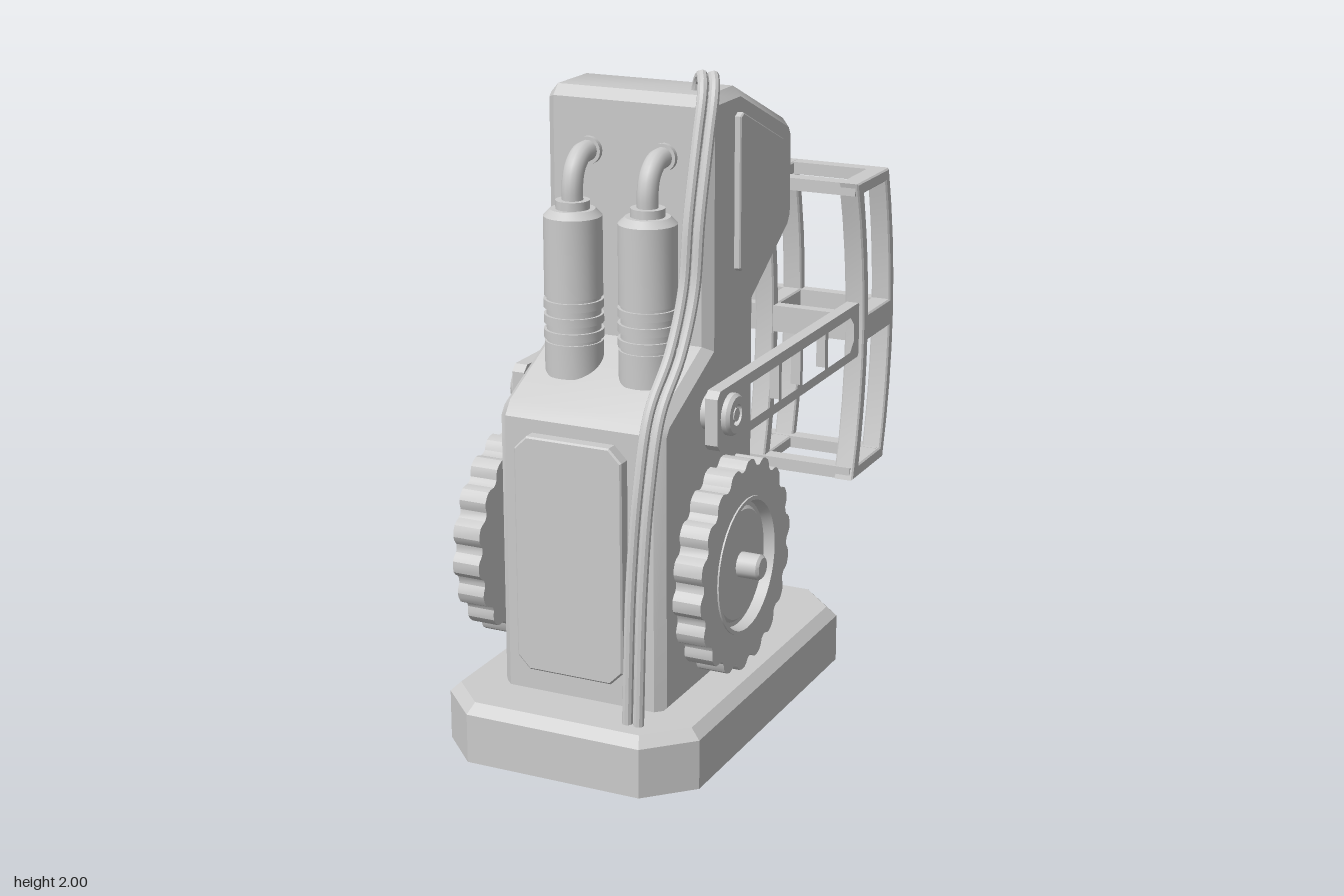
import * as THREE from 'three';
import { toCreasedNormals } from 'three/addons/utils/BufferGeometryUtils.js';

const material = new THREE.MeshStandardMaterial({ color: 0xcccccc });

function add(parent, name, geometry, x = 0, y = 0, z = 0) {
  const mesh = new THREE.Mesh(toCreasedNormals(geometry, 0.5), material);
  mesh.name = name;
  mesh.position.set(x, y, z);
  parent.add(mesh);
  return mesh;
}

const shapeOf = (pts) => new THREE.Shape(pts.map(([a, b]) => new THREE.Vector2(a, b)));

// Extrudes a shape; the bevel stays inside the outline and the depth
function slab(shape, depth, bevel = 0) {
  return new THREE.ExtrudeGeometry(shape, {
    depth: Math.max(depth - 2 * bevel, 0.001), bevelEnabled: bevel > 0, bevelThickness: bevel,
    bevelSize: bevel, bevelOffset: -bevel, bevelSegments: 1, curveSegments: 40,
  }).translate(0, 0, bevel);
}

// Slab whose outline is given as (z, y) and which spans x0..x1
function sideSlab(pts, x0, x1, bevel = 0, holes = []) {
  const flip = (list) => list.map(([z, y]) => [-z, y]);
  const shape = shapeOf(flip(pts));
  shape.holes = holes.map((h) => shapeOf(flip(h)));
  return slab(shape, x1 - x0, bevel).rotateY(Math.PI / 2).translate(x0, 0, 0);
}

// Turned part from [radius, height] pairs
const lathe = (pts, n = 32) =>
  new THREE.LatheGeometry(pts.map(([r, h]) => new THREE.Vector2(r, h)), n);

// Rectangle with cut corners
const cutRect = (a0, a1, b0, b1, c) => [
  [a0 + c, b0], [a1 - c, b0], [a1, b0 + c], [a1, b1 - c],
  [a1 - c, b1], [a0 + c, b1], [a0, b1 - c], [a0, b0 + c],
];

// Points along a bowed line, z0 at the cage's ends and z1 at its middle height
function bow(z0, z1, yA, yB, yTop, yMid) {
  const pts = [];
  for (let i = 0; i <= 8; i++) {
    const y = yA + ((yB - yA) * i) / 8;
    const t = (y - yMid) / (yTop - yMid);
    pts.push([z1 + (z0 - z1) * t * t, y]);
  }
  return pts;
}

function gearOutline(teeth) {
  const pts = [];
  const tooth = [[0, 0.311], [0.1, 0.318], [0.26, 0.32], [0.42, 0.318], [0.52, 0.311], [0.64, 0.298], [0.76, 0.295], [0.88, 0.298]];
  for (let i = 0; i < teeth; i++) {
    for (const [f, r] of tooth) {
      const a = ((i + f) / teeth) * Math.PI * 2;
      pts.push([Math.cos(a) * r, Math.sin(a) * r]);
    }
  }
  return pts;
}

export function createModel() {
  const model = new THREE.Group();
  model.name = 'machine';

  // Base plate: chamfered top over a thin skirt, hollow underneath
  const plate = cutRect(-0.41, 0.41, -0.89, 0.41, 0.13);
  const skirt = shapeOf(plate);
  skirt.holes = [shapeOf(cutRect(-0.4, 0.4, -0.88, 0.4, 0.126))];
  add(model, 'baseSkirt', slab(skirt, 0.15).rotateX(-Math.PI / 2));
  add(model, 'baseTop', slab(shapeOf(plate), 0.06, 0.03).rotateX(-Math.PI / 2), 0, 0.12);
  add(model, 'baseUnderside', slab(shapeOf(plate), 0.01).rotateX(-Math.PI / 2), 0, 0.14);

  // Body: lower block, sloped shoulder and overhanging head
  add(model, 'body', sideSlab([
    [0.70, 0.16], [0.70, 1.02], [0.67, 1.06], [0.38, 1.20], [0.38, 1.90], [0.35, 1.93], [0.17, 1.93],
    [-0.2, 1.77], [-0.225, 1.73], [-0.225, 1.47], [-0.2, 1.43], [0.06, 1.265], [0.06, 0.16],
  ], -0.265, 0.265, 0.028));
  add(model, 'frontPanel', slab(shapeOf(cutRect(-0.19, 0.155, 0.26, 0.98, 0.04)), 0.06, 0.005), 0, 0, 0.68);

  const headPanel = [[0.215, 1.85], [0.195, 1.86], [-0.10, 1.73], [-0.13, 1.69],
    [-0.13, 1.49], [-0.11, 1.46], [0.2, 1.39], [0.215, 1.40]];

  // Rear support column
  add(model, 'rearColumn', lathe([
    [0, 0.17], [0.085, 0.17], [0.085, 0.2], [0.11, 0.22], [0.11, 0.47], [0.09, 0.495], [0.09, 1.145],
    [0.102, 1.147], [0.102, 1.157], [0.09, 1.16], [0.09, 1.225],
    [0.102, 1.227], [0.102, 1.237], [0.09, 1.24], [0.09, 1.5],
  ]), 0, 0, -0.11);

  // Twin canisters with bent outlet pipes
  for (const x of [-0.12, 0.12]) {
    const profile = [[0, 1.11], [0.086, 1.11], [0.086, 1.21]];
    for (const y of [1.22, 1.265, 1.31]) {
      profile.push([0.08, y - 0.01], [0.08, y], [0.088, y], [0.088, y + 0.025], [0.08, y + 0.025]);
    }
    profile.push([0.08, 1.345], [0.086, 1.345], [0.086, 1.58], [0.066, 1.6],
      [0.05, 1.6], [0.05, 1.625], [0, 1.625]);
    add(model, 'canister', lathe(profile), x, 0, 0.49);
    const bend = new THREE.CatmullRomCurve3([
      [0.49, 1.61], [0.49, 1.67], [0.475, 1.715], [0.44, 1.745], [0.41, 1.75], [0.36, 1.75],
    ].map(([z, y]) => new THREE.Vector3(x, y, z)));
    add(model, 'outletPipe', new THREE.TubeGeometry(bend, 20, 0.031, 14));
    add(model, 'pipeCollar', new THREE.CylinderGeometry(0.041, 0.041, 0.03, 20).rotateX(Math.PI / 2), x, 1.75, 0.38);
  }

  // Pair of cables from the head down to the base
  for (const d of [0, 0.036]) {
    const path = new THREE.CatmullRomCurve3([
      [0.165, 1.90, 0.27], [0.18, 1.96, 0.28], [0.21, 1.982, 0.32], [0.23, 1.94, 0.36],
      [0.237, 1.82, 0.41], [0.24, 1.6, 0.475], [0.24, 1.4, 0.51], [0.235, 1.23, 0.59],
      [0.225, 1.09, 0.70], [0.22, 0.89, 0.76], [0.21, 0.6, 0.79], [0.2, 0.16, 0.80],
    ].map(([x, y, z]) => new THREE.Vector3(x + d, y, z)));
    add(model, 'cable', new THREE.TubeGeometry(path, 70, 0.016, 10));
  }

  // Parts on both sides
  const windows = [[0.285, 0.035], [0.015, -0.13], [-0.15, -0.33], [-0.355, -0.575]];
  const cuts = windows.map(([a, b], i) => {
    const h = cutRect(b, a, 0.95, 1.066, 0.03);
    if (i === 0) return [[b, 0.95], ...h.slice(1, 5), [b, 1.066]];
    if (i === 3) return [[a, 0.95], [a, 1.066], ...h.slice(5), h[0]];
    return [[b, 0.95], [a, 0.95], [a, 1.066], [b, 1.066]];
  });
  for (const s of [1, -1]) {
    const side = new THREE.Group();
    side.name = s > 0 ? 'leftSide' : 'rightSide';
    model.add(side);
    const span = (a, b) => (s > 0 ? [a, b] : [-b, -a]);
    const turned = (pts, n) => lathe(pts, n).rotateZ(-s * Math.PI / 2);

    add(side, 'headPanel', sideSlab(headPanel, ...span(0.25, 0.285), 0.004));

    // Toothed wheel with a recessed ring, hub and axle
    const gear = shapeOf(gearOutline(18));
    gear.holes = [new THREE.Path().absarc(0, 0, 0.205, 0, Math.PI * 2, true)];
    add(side, 'gear', slab(gear, 0.088).rotateY(Math.PI / 2).translate(span(0.315, 0.403)[0], 0, 0), 0, 0.567, 0.42);
    add(side, 'gearHub', turned([
      [0, 0.25], [0.095, 0.25], [0.095, 0.315], [0.207, 0.315], [0.207, 0.408], [0.195, 0.408],
      [0.188, 0.375], [0.175, 0.375], [0.165, 0.385], [0, 0.385],
    ], 40), 0, 0.567, 0.42);
    add(side, 'axle', turned([
      [0, 0.37], [0.038, 0.37], [0.038, 0.447], [0.03, 0.455], [0, 0.455],
    ], 20), 0, 0.567, 0.42);

    // Slotted lifting arm and its pivot
    add(side, 'arm', sideSlab(cutRect(-0.63, 0.48, 0.92, 1.10, 0.02), ...span(0.295, 0.335), 0, cuts));
    add(side, 'armPivot', turned([
      [0, 0.25], [0.055, 0.25], [0.055, 0.295], [0.063, 0.3], [0.063, 0.35], [0.055, 0.36], [0.032, 0.36],
      [0.032, 0.345], [0.02, 0.345], [0.02, 0.358], [0, 0.358],
    ], 24), 0, 1.015, 0.395);
  }

  // Cage: three bowed frames joined by cross bars
  const cage = new THREE.Group();
  cage.name = 'cage';
  model.add(cage);
  const top = 1.505, mid = 1.01, low = 0.515;
  const opening = (yA, yB) => [
    ...bow(-0.592, -0.66, yA, yB, top, mid), ...bow(-0.785, -0.853, yB, yA, top, mid)];
  const outline = [...bow(-0.545, -0.62, top, low, top, mid), ...bow(-0.82, -0.89, low, top, top, mid)];
  const openings = [opening(1.465, 1.055), opening(0.965, 0.555)];
  for (const x of [-0.318, 0, 0.318]) {
    add(cage, 'cageFrame', sideSlab(outline, x - 0.033, x + 0.033, 0.005, openings));
  }
  const bar = (y, z, h, d) => add(cage, 'cageBar', new THREE.BoxGeometry(0.68, h, d), 0, y, z);
  for (const y of [top - 0.021, low + 0.021]) {
    bar(y, -0.576, 0.04, 0.054);
    bar(y, -0.803, 0.04, 0.05);
  }
  bar(mid, -0.641, 0.088, 0.04);
  bar(mid, -0.869, 0.088, 0.04);

  return model;
}
